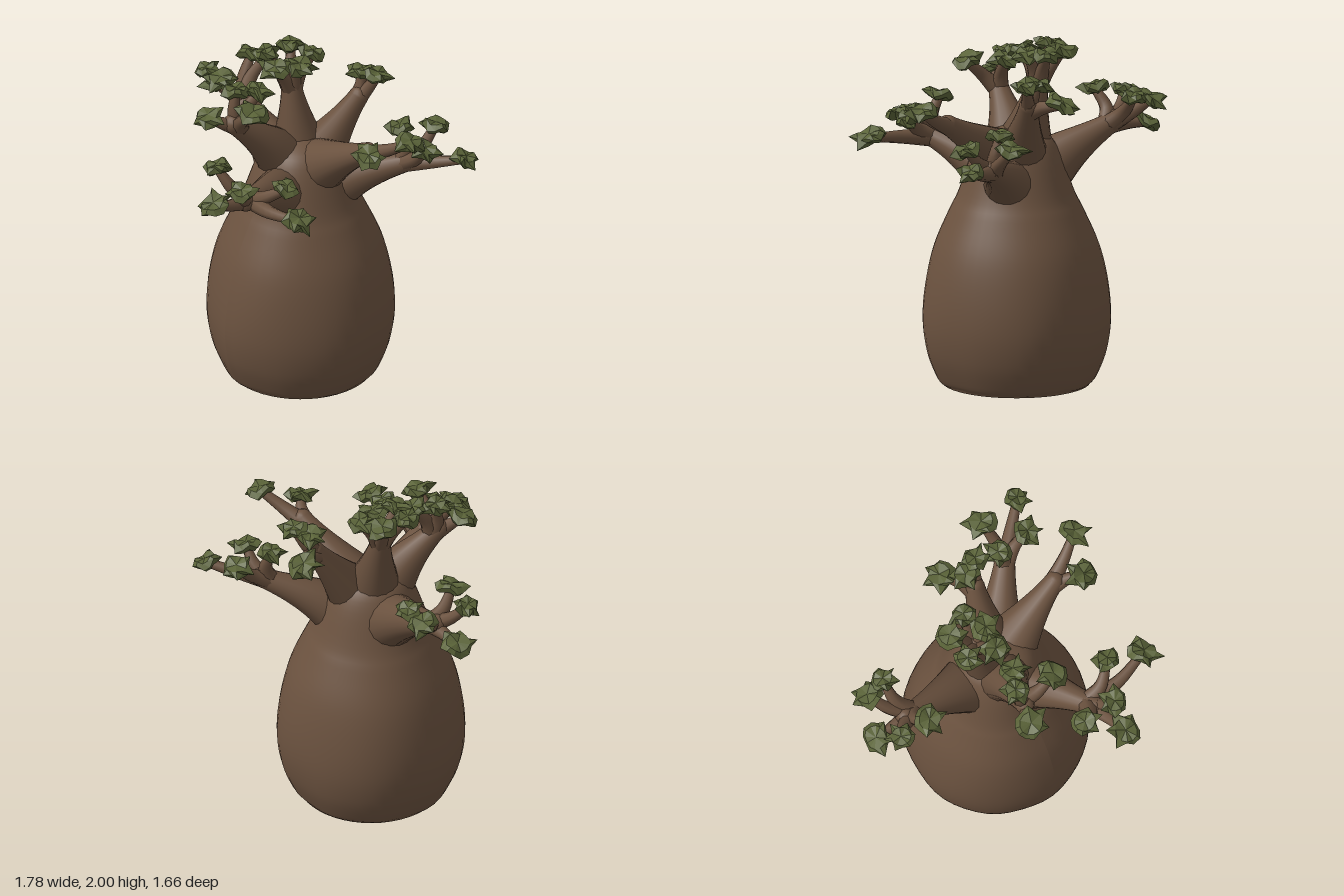
import * as THREE from 'three';

const V = (p) => new THREE.Vector3(...p);

// Each limb leaves the trunk axis at height `root`, ends at `fork`, and splits into twigs reaching `tips`
const LIMBS = [
  { name: 'rightLimb', root: 1.13, fork: [-0.62, 1.47, -0.12], girth: 0.26, bow: 0.02,
    tips: [[-0.82, 1.43, -0.13], [-0.75, 1.6, 0], [-0.57, 1.63, 0.03], [-0.74, 1.61, -0.31], [-0.62, 1.64, -0.32]] },
  { name: 'frontLimb', root: 1.12, fork: [0.28, 1.38, 0.5], girth: 0.25, bow: 0.03,
    tips: [[0.3, 1.44, 0.74], [0.13, 1.56, 0.59], [0.35, 1.49, 0.58], [0.69, 1.41, 0.43], [0.48, 1.5, 0.36]] },
  { name: 'leftLimb', root: 1.25, fork: [0.54, 1.59, -0.18], girth: 0.24, bow: 0.01,
    tips: [[0.78, 1.71, -0.3], [0.67, 1.64, -0.09]] },
  { name: 'backLeftLimb', root: 1.08, fork: [0.47, 1.38, -0.54], girth: 0.24, bow: 0.03,
    tips: [[0.72, 1.43, -0.74], [0.45, 1.53, -0.73], [0.62, 1.51, -0.53], [0.4, 1.57, -0.52]] },
  { name: 'upperFrontLimb', root: 1.24, fork: [-0.09, 1.66, 0.31], girth: 0.24, bow: 0.03,
    tips: [[-0.15, 1.71, 0.44], [-0.12, 1.84, 0.27], [-0.05, 1.83, 0.16], [0.11, 1.81, 0.32]] },
  { name: 'crownLimb', root: 1.24, fork: [-0.11, 1.78, -0.12], girth: 0.25, bow: 0,
    tips: [[-0.23, 1.94, -0.03], [-0.07, 1.92, 0.02], [-0.22, 1.94, -0.2], [-0.08, 1.93, -0.25], [-0.03, 1.91, -0.12]] },
  { name: 'backLimb', root: 1.22, fork: [0.14, 1.7, -0.42], girth: 0.23, bow: 0,
    tips: [[0.11, 1.82, -0.46], [0.21, 1.83, -0.5], [0.02, 1.72, -0.58]] },
];

// Smooth tube narrowing from one radius to another; a higher power narrows it sooner
function taperedTube(points, startRadius, endRadius, power, segments, sides) {
  const curve = new THREE.CatmullRomCurve3(points);
  const geo = new THREE.TubeGeometry(curve, segments, 1, sides);
  const pos = geo.attributes.position;
  const v = new THREE.Vector3();
  for (let i = 0; i <= segments; i++) {
    const u = i / segments;
    const centre = curve.getPointAt(u);
    const radius = endRadius + (startRadius - endRadius) * (1 - u) ** power;
    for (let j = 0; j <= sides; j++) {
      const n = i * (sides + 1) + j;
      v.fromBufferAttribute(pos, n).sub(centre).multiplyScalar(radius).add(centre);
      pos.setXYZ(n, v.x, v.y, v.z);
    }
  }
  return geo;
}

// Ragged, crumpled leaf clump with six uneven points
function leafClump(seed) {
  const cols = 12, rows = 4;
  const geo = new THREE.SphereGeometry(1, cols, rows);
  const pos = geo.attributes.position;
  for (let i = 0; i < pos.count; i++) {
    const col = (i % (cols + 1)) % cols;
    const row = Math.floor(i / (cols + 1));
    const wobble = Math.sin(col * 2.7 + seed * 1.9);
    const fold = 0.32 * Math.sin(col * 1.8 + seed);
    let spread = 0.95;
    let lift = -0.35 + 0.5 * fold;
    if (row === 0) lift = 0.3;
    if (row === 1) lift = 0.36 + 0.5 * fold;
    if (row === 2) {
      spread = (col % 2 ? 0.78 : 1.06) + 0.16 * wobble;
      lift = fold;
    }
    if (row === rows) lift = -0.5;
    pos.setXYZ(i, pos.getX(i) * spread, lift, pos.getZ(i) * spread);
  }
  return geo;
}

export function createModel() {
  const bark = new THREE.MeshStandardMaterial({ color: 0x6b523f });
  bark.name = 'bark brown';
  const leaf = new THREE.MeshStandardMaterial({ color: 0x5a6338, flatShading: true });
  leaf.name = 'leaf green';

  const tree = new THREE.Group();
  tree.name = 'bottleTree';
  const add = (name, geo, mat, parent) => {
    const mesh = new THREE.Mesh(geo, mat);
    mesh.name = name;
    parent.add(mesh);
    return mesh;
  };

  // Swollen trunk, slightly uneven around its girth
  const control = [[0.435, 0.012], [0.462, 0.05], [0.515, 0.19], [0.54, 0.37], [0.525, 0.58], [0.475, 0.8],
    [0.385, 1.01], [0.332, 1.12], [0.25, 1.35], [0.17, 1.46], [0.02, 1.52]];
  const profile = new THREE.SplineCurve(control.map((p) => new THREE.Vector2(...p))).getPoints(48);
  const trunkGeo = new THREE.LatheGeometry(profile, 48);
  const pos = trunkGeo.attributes.position;
  for (let i = 0; i < pos.count; i++) {
    const a = Math.atan2(pos.getZ(i), pos.getX(i));
    const y = pos.getY(i);
    const s = 1 + 0.007 * Math.sin(a * 5 + y * 3) + 0.008 * Math.sin(a * 9) * Math.max(0, 1 - y * 2);
    pos.setXYZ(i, pos.getX(i) * s, y, pos.getZ(i) * s);
  }
  trunkGeo.computeVertexNormals();
  add('trunk', trunkGeo, bark, tree).position.set(0.025, 0, -0.088);

  // Flat underside
  const base = add('trunkBase', new THREE.CylinderGeometry(0.436, 0.425, 0.02, 48), bark, tree);
  base.position.set(0.025, 0.01, -0.088);

  // Limbs, each forking into twigs that end in a leaf clump
  const up = new THREE.Vector3(0, 1, 0);
  const forkRadius = 0.058;
  let seed = 1;
  for (const { name, root, fork, girth, bow, tips } of LIMBS) {
    const limb = new THREE.Group();
    limb.name = name;
    tree.add(limb);
    const start = new THREE.Vector3(0.02, root, -0.1);
    const end = V(fork);
    const middle = start.clone().lerp(end, 0.5).addScaledVector(up, bow);
    add('shoulder', new THREE.SphereGeometry(girth, 24, 16), bark, limb).position.copy(start);
    add('bough', taperedTube([start, middle, end], girth, forkRadius, 1.5, 24, 18), bark, limb);
    add('fork', new THREE.SphereGeometry(forkRadius, 14, 10), bark, limb).position.copy(end);

    for (const point of tips) {
      const tip = V(point);
      const twigRoot = end.clone().lerp(middle, 0.2);
      const bend = end.clone().lerp(tip, 0.45).addScaledVector(up, -0.012);
      add('twig', taperedTube([twigRoot, bend, tip], forkRadius, 0.026, 1.3, 10, 8), bark, limb);

      // Lean each clump part of the way along its twig
      const lean = tip.clone().sub(end).normalize().multiplyScalar(0.45).addScaledVector(up, 0.9).normalize();
      const size = 0.097 + 0.01 * Math.sin(seed * 2.3);
      const clump = add('leaves', leafClump(seed), leaf, limb);
      clump.position.copy(tip).addScaledVector(up, 0.008);
      clump.scale.set(size, 0.075, size * 0.9);
      clump.quaternion.setFromUnitVectors(up, lean);
      clump.rotateY(seed * 1.3);
      seed++;
    }
  }
  return tree;
}
